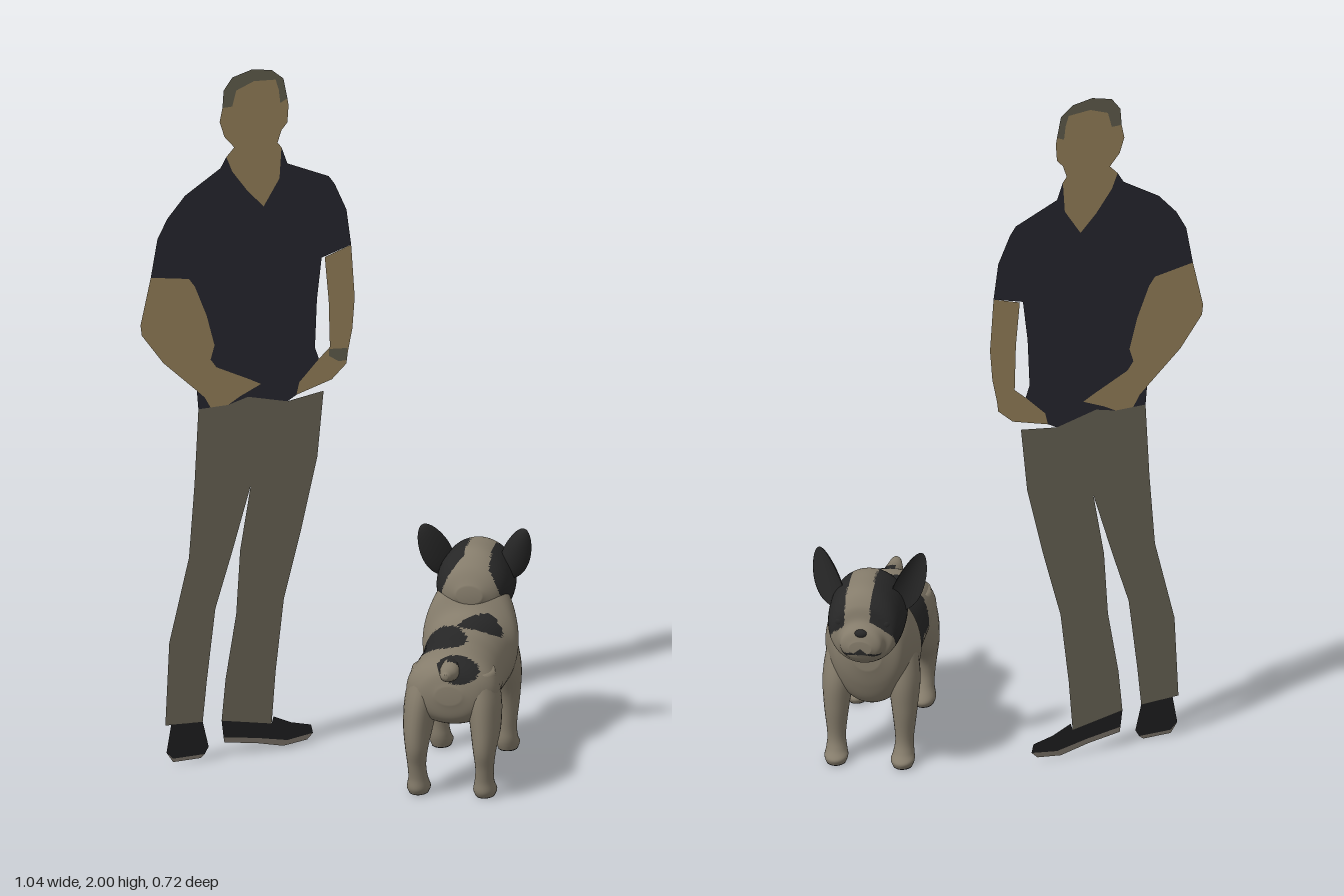
import * as THREE from 'three';

const flat = (color, extra = {}) => new THREE.MeshStandardMaterial({ color, ...extra });
const named = (name, color, extra) => Object.assign(flat(color, extra), { name });
const both = { side: THREE.DoubleSide };
const skin = named('skin', 0x9a845c, both);
const shirtBlue = named('shirt navy', 0x282830, both);
const trouserGrey = named('trouser grey', 0x6a6556, both);
const shoeBlack = named('shoe black', 0x1f1f20, both);
const hairGrey = named('hair grey', 0x64604f, both);
const soleGrey = named('sole grey', 0x7a7268, both);
const coat = named('coat', 0x857c6b);
const darkFur = named('dark fur', 0x272727);

// Flat cut-out piece from an outline
function cutout(parent, name, material, outline, layer = 0) {
  const shape = new THREE.Shape(outline.map(([x, y]) => new THREE.Vector2(x, y)));
  const mesh = new THREE.Mesh(new THREE.ShapeGeometry(shape), material);
  mesh.name = name;
  mesh.position.z = layer * 0.0008;
  parent.add(mesh);
}

// Smooth closed loft. Sections are [cx, cy, cz, rx, r2]; rings lie across the given axis.
// Faces for which isDark(centroid) holds use the second material.
function loft(name, sections, axis, isDark = () => false, rings = 40, sides = 32) {
  const centres = new THREE.CatmullRomCurve3(
    sections.map(s => new THREE.Vector3(s[0], s[1], s[2])), false, 'catmullrom');
  const radii = new THREE.CatmullRomCurve3(
    sections.map(s => new THREE.Vector3(s[3], s[4], 0)), false, 'catmullrom');
  const pos = [], light = [], dark = [];
  for (let i = 0; i <= rings; i++) {
    const c = centres.getPoint(i / rings), r = radii.getPoint(i / rings);
    for (let j = 0; j < sides; j++) {
      const a = (j / sides) * Math.PI * 2, u = Math.cos(a) * r.x, v = Math.sin(a) * r.y;
      pos.push(c.x + u, c.y + (axis === 'z' ? v : 0), c.z + (axis === 'y' ? v : 0));
    }
  }
  const first = pos.length / 3;
  pos.push(...centres.getPoint(0).toArray(), ...centres.getPoint(1).toArray());
  const tri = (...ids) => {
    const p = [0, 1, 2].map(k => ids.reduce((sum, id) => sum + pos[id * 3 + k], 0) / 3);
    (isDark(...p) ? dark : light).push(...ids);
  };
  for (let j = 0; j < sides; j++) {
    const n = (j + 1) % sides, end = rings * sides;
    tri(first, n, j);
    tri(first + 1, end + j, end + n);
    for (let i = 0; i < rings; i++) {
      const a = i * sides + j, b = i * sides + n;
      tri(a, b, b + sides);
      tri(a, b + sides, a + sides);
    }
  }
  const geo = new THREE.BufferGeometry();
  geo.setAttribute('position', new THREE.Float32BufferAttribute(pos, 3));
  geo.setIndex([...light, ...dark]);
  geo.addGroup(0, light.length, 0);
  geo.addGroup(light.length, dark.length, 1);
  geo.computeVertexNormals();
  const mesh = new THREE.Mesh(geo, [coat, darkFur]);
  mesh.name = name;
  return mesh;
}

function ellipsoid(name, radii, position, material) {
  const mesh = new THREE.Mesh(new THREE.SphereGeometry(1, 20, 14), material);
  mesh.name = name;
  mesh.scale.set(...radii);
  mesh.position.set(...position);
  return mesh;
}

// Standing man as a flat upright cut-out
function createMan() {
  const man = new THREE.Group();
  man.name = 'man cutout';
  cutout(man, 'trousers', trouserGrey, [
    [-.376, 1.03], [-.386, .81], [-.4, .6], [-.45, .36], [-.46, .12], [-.365, .115], [-.355, .23],
    [-.333, .44], [-.29, .6], [-.243, .785], [-.27, .6], [-.28, .415], [-.307, .23], [-.317, .11],
    [-.19, .08], [-.18, .23], [-.159, .44], [-.116, .63], [-.074, .84], [-.058, 1.03],
    [-.15, 1.015], [-.25, 1.045], [-.3, 1.03]]);
  cutout(man, 'shirt', shirtBlue, [
    [-.305, 1.755], [-.32, 1.725], [-.41, 1.66], [-.455, 1.6], [-.48, 1.545], [-.497, 1.435],
    [-.4, 1.415], [-.385, 1.39], [-.355, 1.3], [-.335, 1.21], [-.345, 1.17], [-.33, 1.145],
    [-.245, 1.095], [-.217, 1.077], [-.27, 1.05], [-.3, 1.03], [-.25, 1.045], [-.15, 1.015],
    [-.127, 1.03], [-.12, 1.065], [-.07, 1.125], [-.08, 1.16], [-.075, 1.3], [-.063, 1.42],
    [.012, 1.445], [0, 1.55], [-.03, 1.63], [-.045, 1.655], [-.15, 1.71], [-.165, 1.76],
    [-.17, 1.67], [-.21, 1.595], [-.25, 1.645], [-.29, 1.71]]);
  cutout(man, 'shirt hem', shirtBlue, [
    [-.38, 1.085], [-.36, 1.062], [-.345, 1.03], [-.376, 1.03]]);
  cutout(man, 'right arm', skin, [
    [-.497, 1.435], [-.523, 1.3], [-.52, 1.27], [-.465, 1.18], [-.38, 1.085], [-.36, 1.062],
    [-.345, 1.03], [-.3, 1.03], [-.27, 1.05], [-.217, 1.077], [-.245, 1.095], [-.33, 1.145],
    [-.345, 1.17], [-.335, 1.21], [-.355, 1.3], [-.385, 1.39], [-.4, 1.415]]);
  cutout(man, 'left arm', skin, [
    [.012, 1.445], [.021, 1.29], [.015, 1.2], [.003, 1.13], [0, 1.1], [-.037, 1.06], [-.127, 1.03],
    [-.12, 1.065], [-.07, 1.125], [-.042, 1.155], [-.045, 1.29], [-.055, 1.42]]);
  cutout(man, 'watch', hairGrey, [
    [-.045, 1.15], [.002, 1.145], [0, 1.11], [-.02, 1.11], [-.045, 1.13]], 1);
  cutout(man, 'face and neck', skin, [
    [-.305, 1.755], [-.29, 1.71], [-.25, 1.645], [-.21, 1.595], [-.17, 1.67], [-.165, 1.76],
    [-.175, 1.775], [-.165, 1.81], [-.15, 1.83], [-.147, 1.88], [-.15, 1.9], [-.168, 1.89],
    [-.172, 1.93], [-.18, 1.96], [-.235, 1.965], [-.28, 1.945], [-.29, 1.9], [-.315, 1.9],
    [-.322, 1.86], [-.31, 1.815], [-.285, 1.78]]);
  cutout(man, 'hair', hairGrey, [
    [-.315, 1.9], [-.312, 1.95], [-.29, 1.985], [-.24, 2], [-.19, 1.99], [-.16, 1.96], [-.15, 1.9],
    [-.168, 1.89], [-.172, 1.93], [-.18, 1.96], [-.235, 1.965], [-.28, 1.945], [-.29, 1.9]]);
  cutout(man, 'right shoe', shoeBlack, [
    [-.445, .12], [-.365, .115], [-.35, .04], [-.36, .02], [-.44, .02], [-.457, .04]]);
  cutout(man, 'right sole', soleGrey, [[-.457, .04], [-.44, .02], [-.36, .02], [-.37, .01], [-.44, .01]]);
  cutout(man, 'left shoe', shoeBlack, [
    [-.317, .11], [-.19, .08], [-.185, .1], [-.14, .075], [-.09, .06], [-.085, .035], [-.15, .025],
    [-.23, .045], [-.312, .06]]);
  cutout(man, 'left sole', soleGrey, [
    [-.312, .06], [-.23, .045], [-.15, .025], [-.085, .035], [-.1, .018], [-.16, .01], [-.23, .03], [-.31, .045]]);
  // Turn the cut-out between front and left
  const turn = Math.atan(0.667);
  man.scale.x = 1 / Math.cos(turn);
  man.rotation.y = turn;
  man.position.z = -0.177;
  return man;
}

// Coat markings
const inEllipse = (x, z, cx, cz, angle, a, b) => {
  const c = Math.cos(angle), s = Math.sin(angle), dx = x - cx, dz = z - cz;
  return ((dx * c + dz * s) / a) ** 2 + ((dz * c - dx * s) / b) ** 2 < 1;
};
const bodyPatch = (x, y, z) =>
  (y > 0.29 && inEllipse(x, z, -.068, .08, .95, .125, .072)) ||
  (y > 0.35 && inEllipse(x, z, .04, -.015, -.6, .066, .038)) ||
  ((x - .02) / .06) ** 2 + ((y - .37) / .055) ** 2 + ((z - .265) / .04) ** 2 < 1;
const headPatch = (x, y, z) =>
  ((x < -.022 || x > .05) && ((z + .212) / .115) ** 2 + ((y - .5) / .105) ** 2 < 1) ||
  (z < -.33 && Math.abs(y - .424 + Math.abs(x) * .25) < .004);

// [z, bottom, top, half width] to a loft section
const span = ([z, lo, hi, w]) => [0, (lo + hi) / 2, z, w, (hi - lo) / 2];

function createDog() {
  const dog = new THREE.Group();
  dog.name = 'dog';
  dog.position.x = 0.36;
  dog.add(loft('body', [
    [-.232, .31, .4, .04], [-.215, .25, .46, .085], [-.19, .2, .51, .105], [-.15, .175, .535, .122],
    [-.1, .168, .5, .134], [-.05, .17, .43, .124], [.05, .18, .413, .12], [.15, .187, .412, .124],
    [.24, .205, .402, .127], [.285, .23, .375, .09], [.302, .28, .33, .035]].map(span),
  'z', bodyPatch, 90, 72));
  dog.add(loft('head', [
    [-.362, .415, .455, .03], [-.35, .397, .482, .055], [-.327, .38, .505, .066],
    [-.314, .372, .545, .088], [-.28, .36, .578, .101], [-.22, .355, .588, .107],
    [-.15, .365, .585, .103], [-.1, .4, .55, .08], [-.07, .45, .5, .035]].map(span),
  'z', headPatch, 80, 80));
  dog.add(loft('tail', [
    [.235, .335, .4, .032], [.27, .34, .398, .029], [.31, .35, .39, .024],
    [.345, .362, .39, .015], [.356, .372, .386, .006]].map(span),
  'z', (x, y, z) => z < .275 && x > -.01, 30, 20));
  dog.add(ellipsoid('nose', [.018, .012, .012], [0, .476, -.348], darkFur));

  for (const side of [-1, 1]) {
    const leg = (name, rows) => dog.add(loft(name,
      rows.map(([y, x, z, rx, rz]) => [x * side, y, z, rx, rz]), 'y', (x, y) => y < .004, 36, 24));
    leg('front leg', [
      [.37, .075, -.12, .045, .045], [.26, .09, -.135, .046, .062], [.17, .095, -.153, .036, .043],
      [.08, .095, -.155, .026, .03], [.04, .094, -.162, .029, .034],
      [.02, .093, -.175, .033, .042], [.002, .093, -.176, .027, .035]]);
    leg('hind leg', [
      [.36, .07, .21, .045, .06], [.28, .086, .215, .048, .083], [.2, .094, .235, .042, .073],
      [.14, .095, .263, .032, .044], [.09, .095, .262, .026, .03], [.05, .093, .252, .027, .032],
      [.02, .093, .238, .033, .046], [.002, .093, .236, .027, .038]]);

    // Upright bat ear, narrowing to the tip and hollowed at the front
    const geo = new THREE.SphereGeometry(1, 24, 18), p = geo.attributes.position;
    for (let i = 0; i < p.count; i++) {
      const x = p.getX(i), y = p.getY(i), z = p.getZ(i);
      p.setXYZ(i, x * (1 - .25 * y) * .042, y * .088, (z < 0 ? z * .1 : z) * .018 - x * x * .012);
    }
    geo.computeVertexNormals();
    const ear = new THREE.Mesh(geo, darkFur);
    ear.name = 'ear';
    ear.position.set(.113 * side, .568, -.187);
    ear.rotation.set(.12, -.45 * side, -.42 * side);
    dog.add(ear);
    dog.add(ellipsoid('eye', [.014, .014, .01], [.064 * side, .492, -.312], darkFur));
  }
  return dog;
}

export function createModel() {
  const model = new THREE.Group();
  model.name = 'man and dog';
  model.add(createMan(), createDog());
  return model;
}
